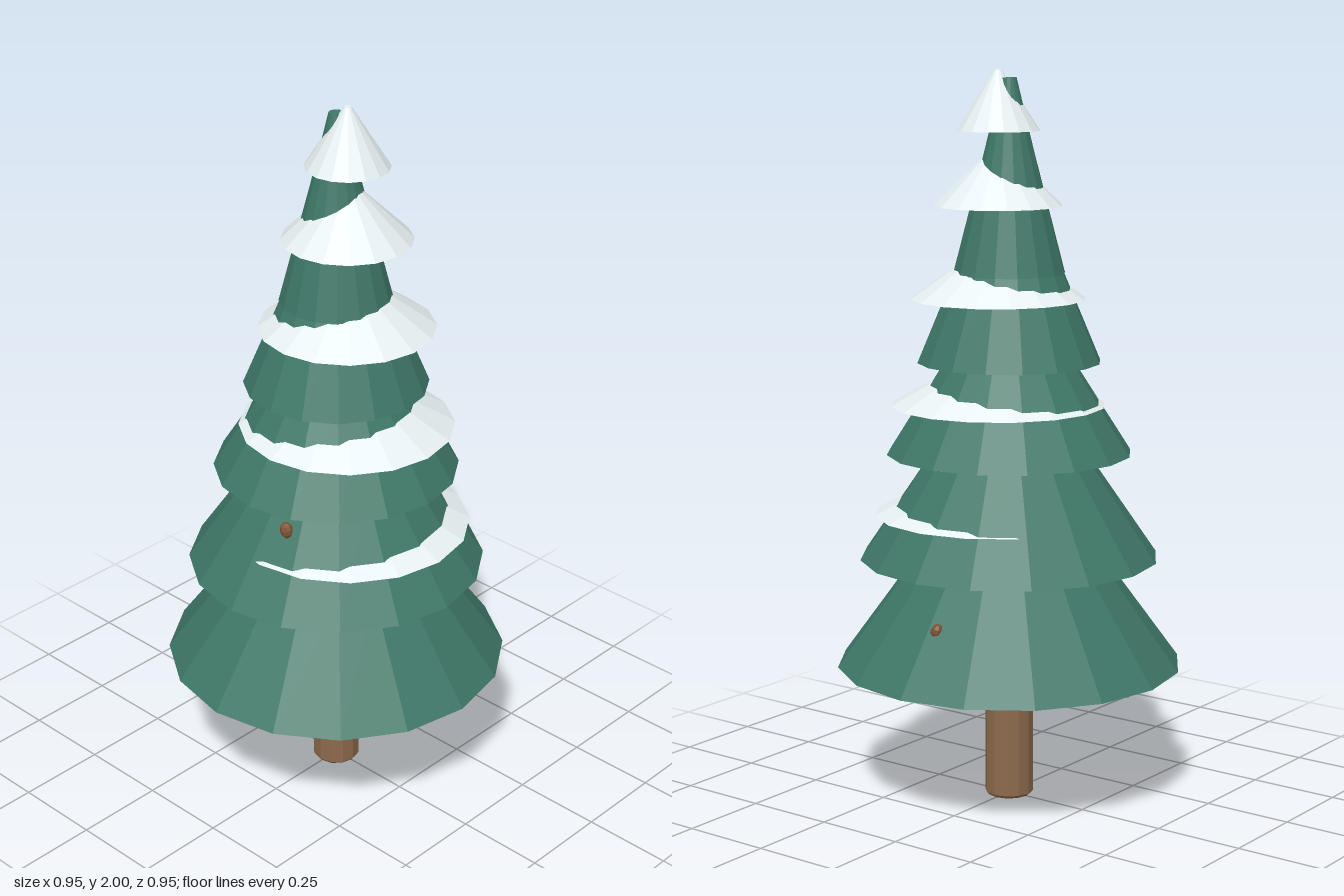
import * as THREE from 'three';

const paint = (color) => new THREE.MeshStandardMaterial({ color, flatShading: true });

export function createModel() {
  const tree = new THREE.Group();
  tree.name = 'snowyTree';
  const green = paint(0x3f7868);
  const snow = paint(0xe6eff1);
  const bark = paint(0x8c6a4c);
  const coneBrown = paint(0x7d5236);

  const add = (name, geometry, material) => {
    const mesh = new THREE.Mesh(geometry, material);
    mesh.name = name;
    tree.add(mesh);
    return mesh;
  };

  // Closed frustum standing on height y0
  const frustum = (name, material, rBottom, rTop, y0, y1, x = 0, z = 0) => {
    const mesh = add(name, new THREE.CylinderGeometry(rTop, rBottom, y1 - y0, 16), material);
    mesh.position.set(x, (y0 + y1) / 2, z);
  };

  // Round stick between two points
  const stick = (name, from, to, rFrom, rTo) => {
    const a = new THREE.Vector3(...from), b = new THREE.Vector3(...to);
    const dir = b.clone().sub(a);
    const mesh = add(name, new THREE.CylinderGeometry(rTo, rFrom, dir.length(), 8), bark);
    mesh.position.copy(a).add(b).multiplyScalar(0.5);
    mesh.quaternion.setFromUnitVectors(new THREE.Vector3(0, 1, 0), dir.normalize());
  };

  // Trunk with a slightly bevelled foot
  const trunkProfile = [[0, 0], [0.06, 0], [0.067, 0.008], [0.067, 0.45], [0, 0.45]]
    .map(([r, y]) => new THREE.Vector2(r, y));
  add('trunk', new THREE.LatheGeometry(trunkProfile, 12), bark);

  // Foliage tiers: bottom radius, top radius, bottom y, top y
  [
    [0.475, 0.25, 0.38, 0.69],
    [0.41, 0.205, 0.68, 0.98],
    [0.335, 0.17, 0.97, 1.23],
    [0.25, 0.145, 1.22, 1.47],
    [0.152, 0.066, 1.46, 1.79],
    [0.066, 0.02, 1.79, 1.98],
  ].forEach(([rb, rt, y0, y1], i) => frustum(`foliageTier${i + 1}`, green, rb, rt, y0, y1));

  // Snow caps, shifted a little off the trunk axis
  [[0.34, 0.80], [0.293, 1.10], [0.238, 1.39], [0.175, 1.64], [0.113, 1.84]]
    .forEach(([r, y], i) => frustum(`snowCap${i + 1}`, snow, r, 0.01, y, y + 0.16, 0.03, -0.01));

  // Branch stubs poking out and drooping outwards
  stick('lowBranch', [-0.05, 0.415, 0], [-0.4, 0.362, 0], 0.018, 0.017);
  stick('frontBranch', [-0.06, 0.675, 0.17], [-0.21, 0.622, 0.262], 0.02, 0.019);

  // Pine cones on the foliage
  [
    [0.063, 0.89, 0.258],
    [-0.02, 0.54, -0.345],
    [0.07, 0.955, -0.205],
  ].forEach(([x, y, z], i) => {
    const cone = add(`pineCone${i + 1}`, new THREE.SphereGeometry(0.018, 8, 6), coneBrown);
    cone.scale.y = 1.3;
    cone.position.set(x, y, z);
    cone.rotation.z = 0.3;
  });

  return tree;
}
